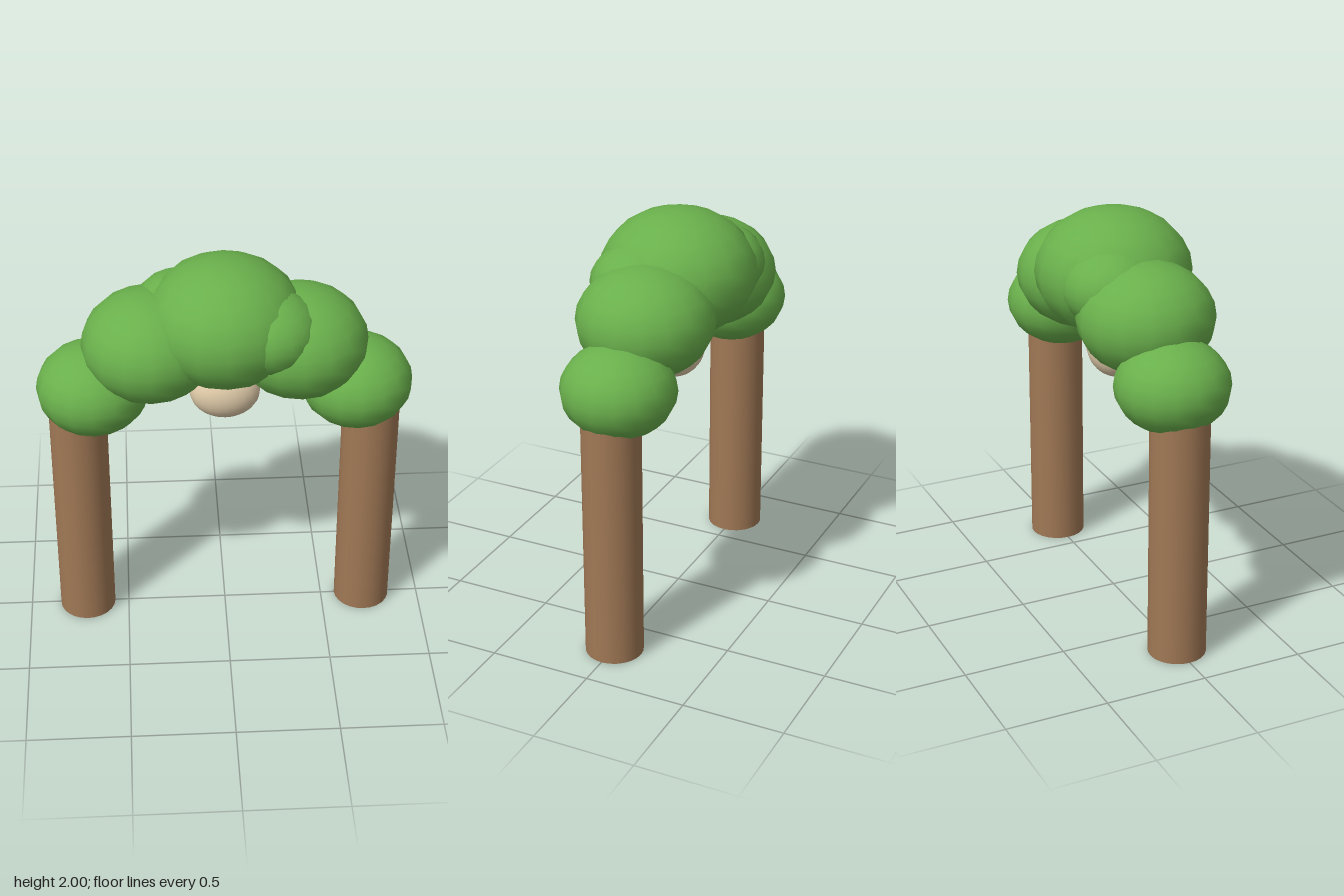
import * as THREE from 'three';

function material(name, color) {
  const m = new THREE.MeshStandardMaterial({ color });
  m.name = name;
  return m;
}

export function createModel() {
  const model = new THREE.Group();
  model.name = 'leafyArch';

  const leaf = material('leafGreen', 0x6ab04c);
  const bark = material('barkBrown', 0xa07855);
  const cream = material('cream', 0xdfcaa8);

  const add = (name, geometry, mat, x, y, z) => {
    const mesh = new THREE.Mesh(geometry, mat);
    mesh.name = name;
    mesh.position.set(x, y, z);
    model.add(mesh);
  };
  // Slightly squashed foliage ball
  const clump = (name, r, x, y, z) =>
    add(name, new THREE.SphereGeometry(r, 16, 12).scale(1, 0.81, 1), leaf, x, y, z);

  // Mirrored trunks and foliage stepping up to the crown
  for (const [side, s] of [['left', 1], ['right', -1]]) {
    add(`${side}Trunk`, new THREE.CylinderGeometry(0.14, 0.14, 1.3, 24), bark, s * 0.71, 0.65, 0);
    clump(`${side}OuterFoliage`, 0.272, s * 0.63, 1.34, 0);
    clump(`${side}MiddleFoliage`, 0.327, s * 0.353, 1.575, 0);
    // Small filler clumps: front on the left, back on the right
    clump(`${side}FillerFoliage`, 0.24, s * 0.2, 1.69, s * 0.1);
  }
  clump('crownFoliage', 0.377, 0, 1.695, 0);

  // Pale bulb hanging under the crown
  add('hangingBulb', new THREE.SphereGeometry(0.17, 24, 16).scale(1, 0.82, 0.72), cream, 0, 1.3, 0);

  return model;
}
